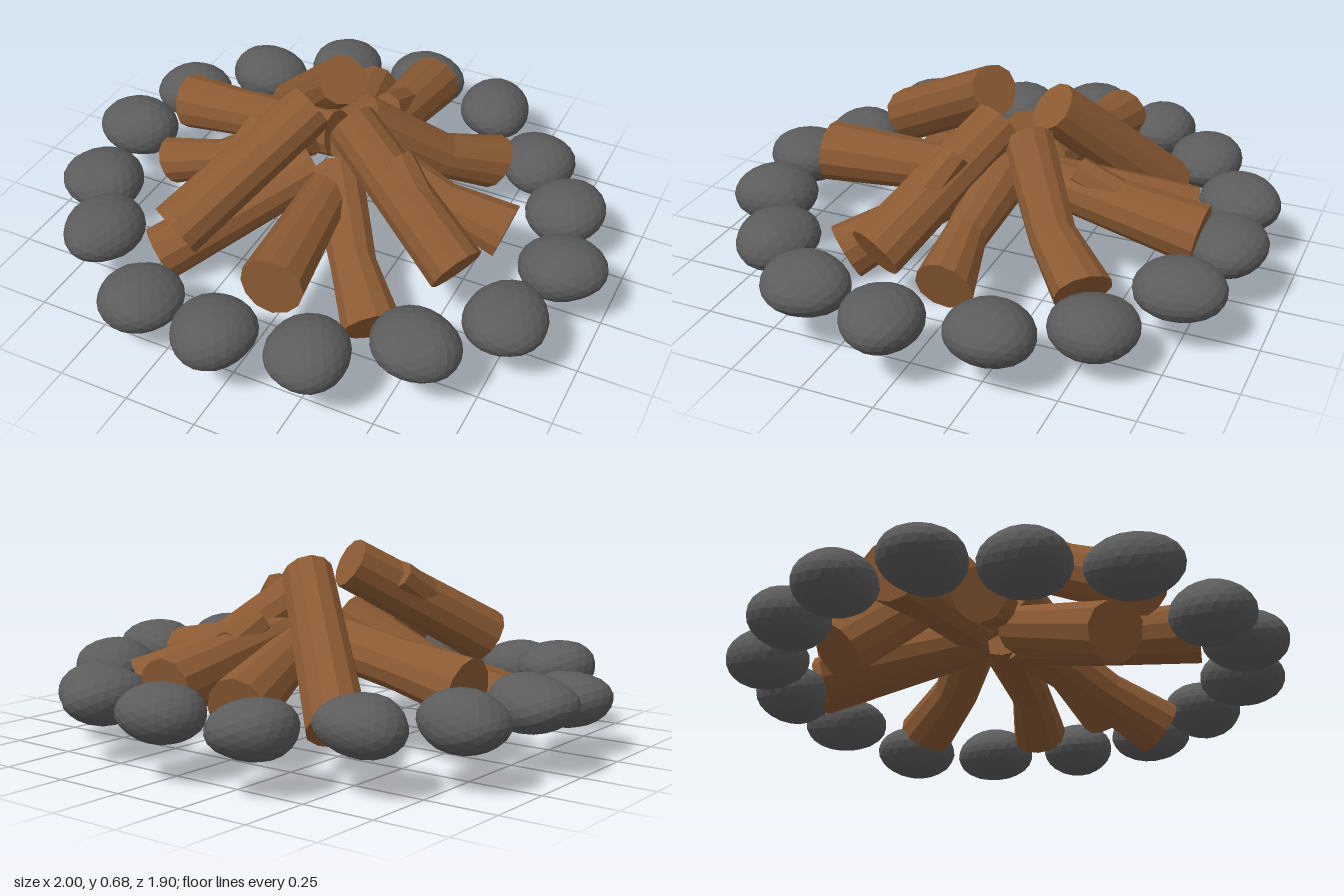
import * as THREE from 'three';

const wood = new THREE.MeshStandardMaterial({ color: 0x8b5a33, flatShading: true });
const rock = new THREE.MeshStandardMaterial({ color: 0x5c5c5c, flatShading: true });
const UP = new THREE.Vector3(0, 1, 0);
const KINK = 0.4;

// Log from its outer end to its inner end; bend and lift offset the kink, waist narrows it.
function makeLog(name, outer, inner, { r = 0.1, rIn = 0.09, bend = 0, lift = 0, waist = 0, stub }, i) {
  const a = new THREE.Vector3(...outer), b = new THREE.Vector3(...inner);
  const dir = b.clone().sub(a), len = dir.length();
  dir.normalize();
  const side = new THREE.Vector3().crossVectors(dir, UP).normalize();
  const top = new THREE.Vector3().crossVectors(side, dir);
  const geo = new THREE.CylinderGeometry(1, 1, 1, 12, 5);
  const pos = geo.attributes.position, p = new THREE.Vector3();
  for (let k = 0; k < pos.count; k++) {
    p.fromBufferAttribute(pos, k);
    const t = p.y + 0.5, mid = Math.min(t / KINK, (1 - t) / (1 - KINK));
    const angle = Math.atan2(p.z, p.x);
    const rad = (r + (rIn - r) * t - waist * mid) * (1 + 0.03 * Math.sin(3 * angle + i * 1.7));
    const x = p.x * rad + bend * mid, z = p.z * rad + lift * mid;
    // side, along and top axes of the log
    p.copy(a).addScaledVector(dir, t * len).addScaledVector(side, x).addScaledVector(top, z);
    pos.setXYZ(k, p.x, p.y, p.z);
  }
  geo.computeVertexNormals();
  const group = new THREE.Group();
  group.name = name;
  const trunk = new THREE.Mesh(geo, wood);
  trunk.name = 'trunk';
  group.add(trunk);

  // Cut branch hugging the trunk: place along the log, and lean to the side
  if (stub) {
    const [t, lean] = stub;
    const s = new THREE.Mesh(new THREE.CylinderGeometry(0.055, 0.062, 0.15, 8), wood);
    s.name = 'branchStub';
    const out = side.clone().multiplyScalar(lean).addScaledVector(top, 0.8).normalize();
    const axis = out.clone().multiplyScalar(0.25).add(dir).normalize();
    s.quaternion.setFromUnitVectors(UP, axis);
    s.position.copy(a).addScaledVector(dir, len * t).addScaledVector(out, 0.055);
    group.add(s);
  }
  return group;
}

// Flattened, slightly lumpy pebble
function makeStone([x, y, z, sx, sz], i) {
  const geo = new THREE.IcosahedronGeometry(1, 3);
  const pos = geo.attributes.position, p = new THREE.Vector3();
  for (let k = 0; k < pos.count; k++) {
    p.fromBufferAttribute(pos, k);
    const f = 1 + 0.04 * Math.sin(2.6 * p.x + i * 2.1) * Math.cos(2.2 * p.z + i)
      + 0.03 * Math.sin(3 * p.y + 2 * p.x + i * 1.3);
    pos.setXYZ(k, p.x * f * sx, p.y * f * 0.095, p.z * f * sz);
  }
  geo.computeVertexNormals();
  const stone = new THREE.Mesh(geo, rock);
  stone.name = 'stone' + (i + 1);
  stone.position.set(x, y, z);
  return stone;
}

export function createModel() {
  const model = new THREE.Group();
  model.name = 'campfire';

  // Ring of stones: x, y, z, half width, half depth
  const ring = new THREE.Group();
  ring.name = 'stoneRing';
  [
    [-0.005, 0.22, -0.815, 0.15, 0.132], [0.32, 0.22, -0.74, 0.132, 0.15], [0.57, 0.18, -0.545, 0.138, 0.145],
    [0.765, 0.21, -0.28, 0.138, 0.15], [0.85, 0.23, 0.035, 0.146, 0.136], [0.77, 0.23, 0.35, 0.135, 0.15],
    [0.56, 0.235, 0.58, 0.15, 0.134], [0.285, 0.235, 0.76, 0.138, 0.148], [-0.03, 0.23, 0.8, 0.14, 0.148],
    [-0.35, 0.18, 0.735, 0.142, 0.143], [-0.62, 0.235, 0.54, 0.13, 0.152], [-0.81, 0.19, 0.26, 0.144, 0.14],
    [-0.845, 0.23, -0.04, 0.152, 0.134], [-0.78, 0.22, -0.34, 0.15, 0.135], [-0.585, 0.22, -0.58, 0.15, 0.132],
    [-0.33, 0.21, -0.77, 0.135, 0.143],
  ].forEach((s, i) => ring.add(makeStone(s, i)));
  model.add(ring);

  // Pile of logs: outer end, inner end, shape
  const pile = new THREE.Group();
  pile.name = 'logPile';
  [
    // tall straight logs leaning together
    [[-0.33, 0.32, 0.53], [-0.06, 0.61, 0.06], { stub: [0.62, -1.4] }],
    [[0.55, 0.25, 0.22], [0.055, 0.54, -0.005], { stub: [0.55, 0.3] }],
    [[-0.42, 0.17, -0.48], [-0.05, 0.59, -0.16], { rIn: 0.088 }],
    // flared logs, nearly level
    [[0.06, 0.27, -0.73], [0.06, 0.38, -0.12], { r: 0.105, rIn: 0.075, stub: [0.62, 0] }],
    [[0.09, 0.33, 0.64], [0.02, 0.32, 0.02], { r: 0.107, rIn: 0.075 }],
    [[-0.155, 0.22, -0.64], [0, 0.36, -0.1], { r: 0.105, rIn: 0.07 }],
    [[-0.71, 0.28, -0.2], [-0.06, 0.38, -0.13], { r: 0.102, rIn: 0.085, waist: 0.01 }],
    [[-0.46, 0.11, 0.45], [-0.06, 0.35, 0.04], { rIn: 0.085 }],
    // crooked logs
    [[0.43, 0.2, -0.455], [0.05, 0.49, -0.11], { bend: -0.02, lift: -0.03, waist: 0.015 }],
    [[0.62, 0.23, -0.06], [0.07, 0.4, -0.05], { bend: -0.02, rIn: 0.1, waist: 0.028 }],
    [[0.355, 0.1, 0.445], [0.02, 0.36, 0.04], { r: 0.102, rIn: 0.095, bend: -0.01, lift: -0.015, waist: 0.02 }],
    [[-0.64, 0.2, 0.07], [-0.12, 0.43, -0.04], { r: 0.086, rIn: 0.088, bend: 0.035, lift: -0.015, waist: 0.02 }],
  ].forEach(([o, n, shape], i) => pile.add(makeLog('log' + (i + 1), o, n, shape, i)));
  model.add(pile);
  return model;
}
